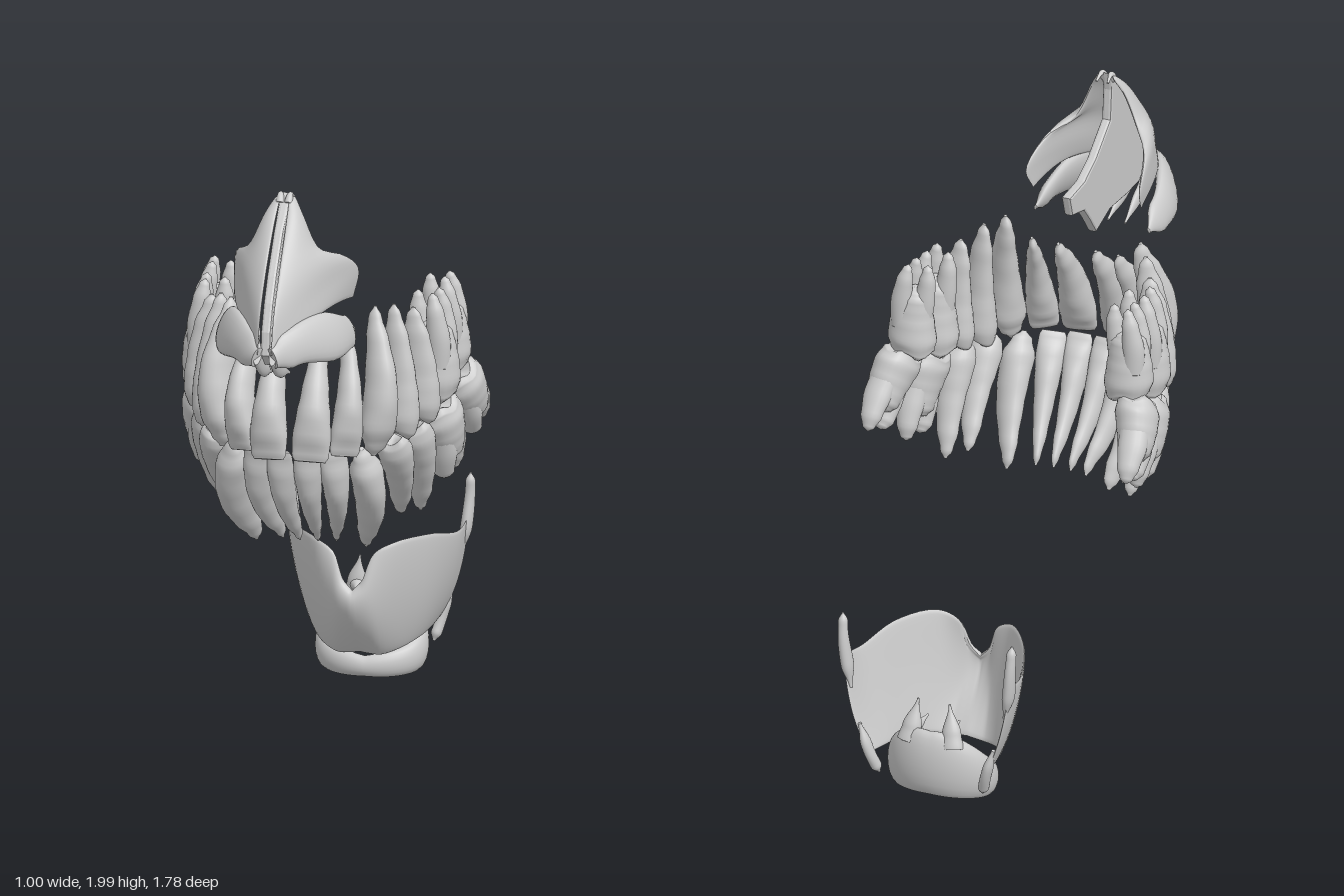
import * as THREE from 'three';

const V = (x, y, z) => new THREE.Vector3(x, y, z);
const curve = pts => new THREE.CatmullRomCurve3(pts.map(p => V(...p)));
const mix = THREE.MathUtils.lerp;
const material = new THREE.MeshStandardMaterial({ color: 0xcccccc, roughness: 0.7 });

// Skin over equal-sized rings of points; winding is chosen so that faces look outwards
function loft(rings, { closed = false, capped = true } = {}) {
  const n = rings[0].length, pts = rings.flat(), idx = [];
  const rows = closed ? rings.length : rings.length - 1;
  for (let i = 0; i < rows; i++) for (let j = 0; j < n; j++) {
    const k = (j + 1) % n, r = ((i + 1) % rings.length) * n;
    idx.push(i * n + j, i * n + k, r + k, i * n + j, r + k, r + j);
  }
  if (capped && !closed) for (const i of [0, rings.length - 1]) {
    const mid = rings[i].reduce((s, p) => s.add(p), V(0, 0, 0)).divideScalar(n);
    for (let j = 0; j < n; j++) {
      const e = [i * n + j, i * n + (j + 1) % n];
      idx.push(pts.length, ...(i ? e : e.reverse()));
    }
    pts.push(mid);
  }
  let volume = 0;
  for (let i = 0; i < idx.length; i += 3)
    volume += pts[idx[i]].dot(pts[idx[i + 1]].clone().cross(pts[idx[i + 2]]));
  if (volume < 0) idx.reverse();
  const g = new THREE.BufferGeometry().setFromPoints(pts);
  g.setIndex(idx);
  g.computeVertexNormals();
  return g;
}

const ellipse = (p, a, b, n = 20, shift = () => V(0, 0, 0)) => Array.from({ length: n }, (_, j) => {
  const t = j / n * Math.PI * 2;
  return p.clone().addScaledVector(a, Math.cos(t)).addScaledVector(b, Math.sin(t)).add(shift(t));
});

// Piecewise interpolation of [t, a, b] rows, eased between the rows
function sample(rows, t) {
  let i = 0;
  while (i < rows.length - 2 && t > rows[i + 1][0]) i++;
  const k = THREE.MathUtils.smoothstep(t, rows[i][0], rows[i + 1][0]);
  return [1, 2].map(c => mix(rows[i][c], rows[i + 1][c], k));
}

// Rounded horn or strip along a path; profile rows are [t, half height, half width]
function strand(path, profile, up = V(0, 1, 0), steps = 24) {
  const c = curve(path), rings = [];
  for (let i = 0; i <= steps; i++) {
    const t = (1 - Math.cos(i / steps * Math.PI)) / 2, axis = c.getTangent(t);
    const a = up.clone().addScaledVector(axis, -up.dot(axis)).normalize();
    const [h, w] = sample(profile, t);
    rings.push(ellipse(c.getPoint(t), a.clone().multiplyScalar(h), axis.cross(a).multiplyScalar(w)));
  }
  return loft(rings);
}

// Thin plate with rounded rims over f(u, v)
function plate(f, thickness, nu = 32, nv = 24) {
  const rings = [], e = 1e-3, rim = t => Math.pow(Math.max(0, Math.sin(Math.PI * t)), 0.4);
  const ease = t => mix(t, (1 - Math.cos(Math.PI * t)) / 2, 0.7);
  for (let i = 0; i <= nv; i++) {
    const v = ease(i / nv), front = [], back = [];
    for (let j = 0; j <= nu; j++) {
      const u = ease(j / nu), c = THREE.MathUtils.clamp(u, e, 1 - e), d = THREE.MathUtils.clamp(v, e, 1 - e);
      const n = f(c + e, d).sub(f(c - e, d)).cross(f(c, d + e).sub(f(c, d - e))).normalize();
      const h = thickness / 2 * rim(u) * rim(v), p = f(u, v);
      front.push(p.clone().addScaledVector(n, h));
      back.unshift(p.addScaledVector(n, -h));
    }
    rings.push([...front, ...back]);
  }
  return loft(rings, { capped: false });
}

// Tooth profiles: [t from biting edge to root tip, width, depth]
const PROFILES = {
  incisor: [[0, .82, .12], [.04, .97, .28], [.18, 1.02, .75], [.34, .9, 1], [.5, .74, .94], [.75, .52, .74], [.93, .28, .42], [1, .08, .1]],
  canine: [[0, .15, .12], [.06, .65, .42], [.18, 1.02, .85], [.36, .9, 1], [.55, .74, .96], [.78, .53, .72], [.93, .32, .42], [1, .08, .1]],
  premolar: [[0, .45, .55], [.04, .85, .85], [.14, 1.03, 1], [.3, .92, .95], [.45, .74, .84], [.75, .55, .64], [.93, .32, .36], [1, .08, .1]],
  molar: [[0, .65, .65], [.04, .9, .88], [.17, 1.03, 1], [.34, .94, .93], [.48, .82, .84], [.62, .72, .74], [.7, .5, .5], [.74, .15, .15]],
};
const ROOT = [[0, .5, .5], [.35, .5, .5], [.7, .38, .4], [.93, .22, .24], [1, .05, .05]];

function tooth([, crown, root, w, d, turn, kind], lower) {
  const C = V(...crown), R = V(...root), axis = R.clone().sub(C);
  axis.normalize();
  const ang = THREE.MathUtils.degToRad(turn), out = V(Math.sin(ang), 0, Math.cos(ang));
  const b = out.addScaledVector(axis, -out.dot(axis)).normalize(), a = axis.clone().cross(b);
  if (a.z > 0) a.negate(); // a always points towards the back of the arch
  const bow = kind === 'incisor' || kind === 'canine' ? 0.035 : 0.012;
  const at = t => C.clone().lerp(R, t).addScaledVector(b, bow * Math.sin(Math.PI * Math.min(1, t * 1.1)));
  const cusps = { incisor: 0, canine: 0, premolar: 2, molar: 4 }[kind];
  const profile = PROFILES[kind], end = profile.at(-1)[0], rings = [];
  for (let i = 0; i <= 28; i++) {
    const t = end * (1 - Math.cos(i / 28 * Math.PI)) / 2, [pw, pd] = sample(profile, t);
    const amp = cusps ? 0.011 * Math.max(0, 1 - t / 0.2) : 0;
    rings.push(ellipse(at(t), a.clone().multiplyScalar(w * pw), b.clone().multiplyScalar(d * pd), 24,
      th => axis.clone().multiplyScalar(amp * Math.cos(cusps * th))));
  }
  // sunken chewing surface
  if (cusps) rings.unshift(ellipse(C.clone().addScaledVector(axis, 0.015), a.clone().multiplyScalar(w * .2), b.clone().multiplyScalar(d * .2), 24));
  const parts = [loft(rings)];
  if (kind === 'molar') {
    const roots = lower ? [[-1, 0], [1, 0]] : [[-1, .7], [1, .7], [0, -.9]];
    for (const [k, m] of roots) {
      const pos = (t, s, q) => at(t).addScaledVector(a, w * s * k).addScaledVector(b, d * q * m).toArray();
      const tip = lower && k < 0 ? .92 : 1;
      parts.push(strand([pos(.32, .42, .4), pos(.55, .46, .48), pos(.8, .5, .5), pos(tip, .42, .42)],
        ROOT.map(([t, x, y]) => [t, x * d * (lower ? 1.35 : .9), y * w * .9]), b, 20));
    }
  }
  return parts;
}

// name, biting edge, root tip, half width, half depth, turn along the arch, kind
const UPPER = [
  ['CentralIncisor', [.068, 1.075, .51], [.066, 1.47, .33], .062, .056, 8, 'incisor'],
  ['LateralIncisor', [.17, 1.085, .46], [.152, 1.48, .315], .052, .054, 28, 'incisor'],
  ['Canine', [.25, 1.07, .378], [.238, 1.55, .3], .06, .064, 48, 'canine'],
  ['FirstPremolar', [.308, 1.105, .25], [.285, 1.54, .235], .053, .068, 65, 'premolar'],
  ['SecondPremolar', [.348, 1.13, .15], [.333, 1.51, .16], .051, .072, 75, 'premolar'],
  ['FirstMolar', [.368, 1.17, .025], [.352, 1.53, .03], .074, .088, 83, 'molar'],
  ['SecondMolar', [.378, 1.225, -.12], [.36, 1.545, -.11], .068, .082, 86, 'molar'],
];
const LOWER = [
  ['CentralIncisor', [.045, 1.09, .46], [.03, .72, .21], .045, .047, 6, 'incisor'],
  ['LateralIncisor', [.128, 1.09, .435], [.088, .72, .2], .047, .049, 22, 'incisor'],
  ['Canine', [.212, 1.095, .39], [.18, .7, .175], .055, .062, 45, 'canine'],
  ['FirstPremolar', [.29, 1.105, .285], [.275, .79, .08], .055, .06, 62, 'premolar'],
  ['SecondPremolar', [.337, 1.125, .17], [.325, .785, .015], .056, .062, 72, 'premolar'],
  ['FirstMolar', [.38, 1.155, .03], [.4, .88, -.08], .088, .072, 80, 'molar'],
  ['SecondMolar', [.41, 1.22, -.12], [.45, .99, -.28], .085, .072, 80, 'molar'],
];

export function createModel() {
  const model = new THREE.Group();
  const group = name => { const g = new THREE.Group(); g.name = name; model.add(g); return g; };
  const add = (parent, name, g) => { const m = new THREE.Mesh(g, material); m.name = name; parent.add(m); };
  const addPair = (parent, name, g) => {
    add(parent, 'left' + name, g);
    const m = g.clone().scale(-1, 1, 1);
    m.setIndex(Array.from(g.index.array).reverse());
    m.computeVertexNormals();
    add(parent, 'right' + name, m);
  };

  // Teeth
  for (const [name, list] of [['upper', UPPER], ['lower', LOWER]]) {
    const g = group(name + 'Teeth');
    for (const spec of list) tooth(spec, name === 'lower').forEach((geo, i) =>
      addPair(g, spec[0] + (i ? 'Root' + i : ''), geo));
  }

  // Nose cartilages
  const nose = group('noseCartilages');
  const septum = new THREE.Shape([[.565, 1.985], [.665, 1.89], [.765, 1.77], [.815, 1.695], [.855, 1.61], [.865, 1.54], [.82, 1.5],
    [.7, 1.5], [.56, 1.51], [.455, 1.48], [.41, 1.54], [.36, 1.6], [.27, 1.625], [.25, 1.685], [.36, 1.69], [.45, 1.73],
    [.57, 1.82], [.58, 1.93]].map(p => new THREE.Vector2(...p)));
  const septumGeo = new THREE.ExtrudeGeometry(septum, { depth: .014, bevelThickness: .01, bevelSize: .008, bevelSegments: 2 });
  septumGeo.translate(0, 0, -.007).rotateY(-Math.PI / 2);
  add(nose, 'septum', septumGeo);

  const ridge = curve([[.022, 1.54, .885], [.022, 1.65, .85], [.022, 1.77, .772], [.02, 1.89, .668], [.016, 1.99, .572]]);
  const cheek = curve([[.19, 1.61, .41], [.2, 1.69, .375], [.175, 1.765, .47], [.11, 1.81, .565], [.06, 1.92, .575], [.03, 1.98, .555]]);
  addPair(nose, 'UpperLateralCartilage', plate((u, v) => {
    const p = ridge.getPoint(v).lerp(cheek.getPoint(v), u), s = Math.sin(Math.PI * u) * (1 - v);
    return p.add(V(.035 * s, .05 * s, 0));
  }, .028));
  addPair(nose, 'LowerLateralCartilage', strand([[.025, 1.53, .875], [.11, 1.56, .77], [.185, 1.545, .62], [.2, 1.515, .45]],
    [[0, .035, .018], [.15, .06, .025], [.55, .08, .028], [.85, .055, .022], [1, .01, .005]], V(-.35, 1, 0)));
  addPair(nose, 'MedialCrus', strand([[.026, 1.54, .865], [.026, 1.48, .8], [.028, 1.445, .72], [.03, 1.415, .645]],
    [[0, .04, .014], [.5, .028, .014], [1, .005, .004]]));
  addPair(nose, 'NasalHook', strand([[.014, 1.965, .585], [.016, 1.99, .565], [.02, 1.975, .53]], [[0, .014, .014], [1, .004, .004]]));

  // Larynx: shield-shaped front plate with horns
  const larynx = group('larynx');
  const top = curve([[0, .35, -.44], [.035, .39, -.445], [.065, .475, -.455], [.13, .512, -.48], [.225, .512, -.6], [.28, .48, -.75], [.292, .5, -.865]]);
  const middle = curve([[0, .28, -.432], [.035, .285, -.442], [.065, .29, -.46], [.12, .3, -.51], [.195, .3, -.615], [.24, .3, -.75], [.258, .3, -.875]]);
  const bottom = curve([[0, .115, -.55], [.035, .11, -.55], [.07, .108, -.555], [.125, .122, -.595], [.165, .138, -.66], [.185, .145, -.75], [.2, .16, -.86]]);
  add(larynx, 'thyroidCartilage', plate((u, v) => {
    const s = u * 2 - 1, t = Math.abs(s), p = V(0, 0, 0);
    p.addScaledVector(bottom.getPoint(t), (1 - v) * (1 - 2 * v));
    p.addScaledVector(middle.getPoint(t), 4 * v * (1 - v)).addScaledVector(top.getPoint(t), v * (2 * v - 1));
    p.x *= Math.sign(s);
    return p;
  }, .032, 64, 28));
  addPair(larynx, 'UpperHorn', strand([[.27, .38, -.855], [.284, .46, -.855], [.294, .56, -.864], [.298, .645, -.858]],
    [[0, .008, .006], [.35, .028, .02], [.9, .016, .016], [1, .004, .004]], V(0, 0, 1)));
  addPair(larynx, 'LowerHorn', strand([[.236, .26, -.866], [.206, .16, -.857], [.182, .08, -.83]],
    [[0, .006, .006], [.35, .022, .017], [.85, .02, .018], [1, .005, .005]], V(0, 0, 1)));

  // Signet-shaped ring, low in front and tall behind
  const rings = [];
  for (let i = 0; i < 64; i++) {
    const t = i / 64 * Math.PI * 2, back = (1 - Math.cos(t)) / 2, side = Math.abs(Math.sin(t));
    const low = .012 + .03 * back - .008 * side, high = .08 + .19 * back ** 2 + .03 * side;
    const thick = .026 + .01 * back;
    const c = V(.155 * Math.sin(t), (low + high) / 2, -.73 + .112 * Math.cos(t));
    rings.push(ellipse(c, V(0, (high - low) / 2, 0), V(Math.sin(t), 0, Math.cos(t)).multiplyScalar(thick)));
  }
  add(larynx, 'cricoidCartilage', loft(rings, { closed: true }));
  addPair(larynx, 'ArytenoidCartilage', strand([[.075, .22, -.835], [.068, .28, -.82], [.055, .36, -.805]],
    [[0, .03, .04], [.4, .026, .032], [1, .004, .004]], V(0, 0, 1)));
  addPair(larynx, 'VocalProcess', strand([[.068, .26, -.82], [.06, .26, -.78], [.055, .265, -.73]], [[0, .025, .024], [1, .004, .004]]));
  return model;
}
